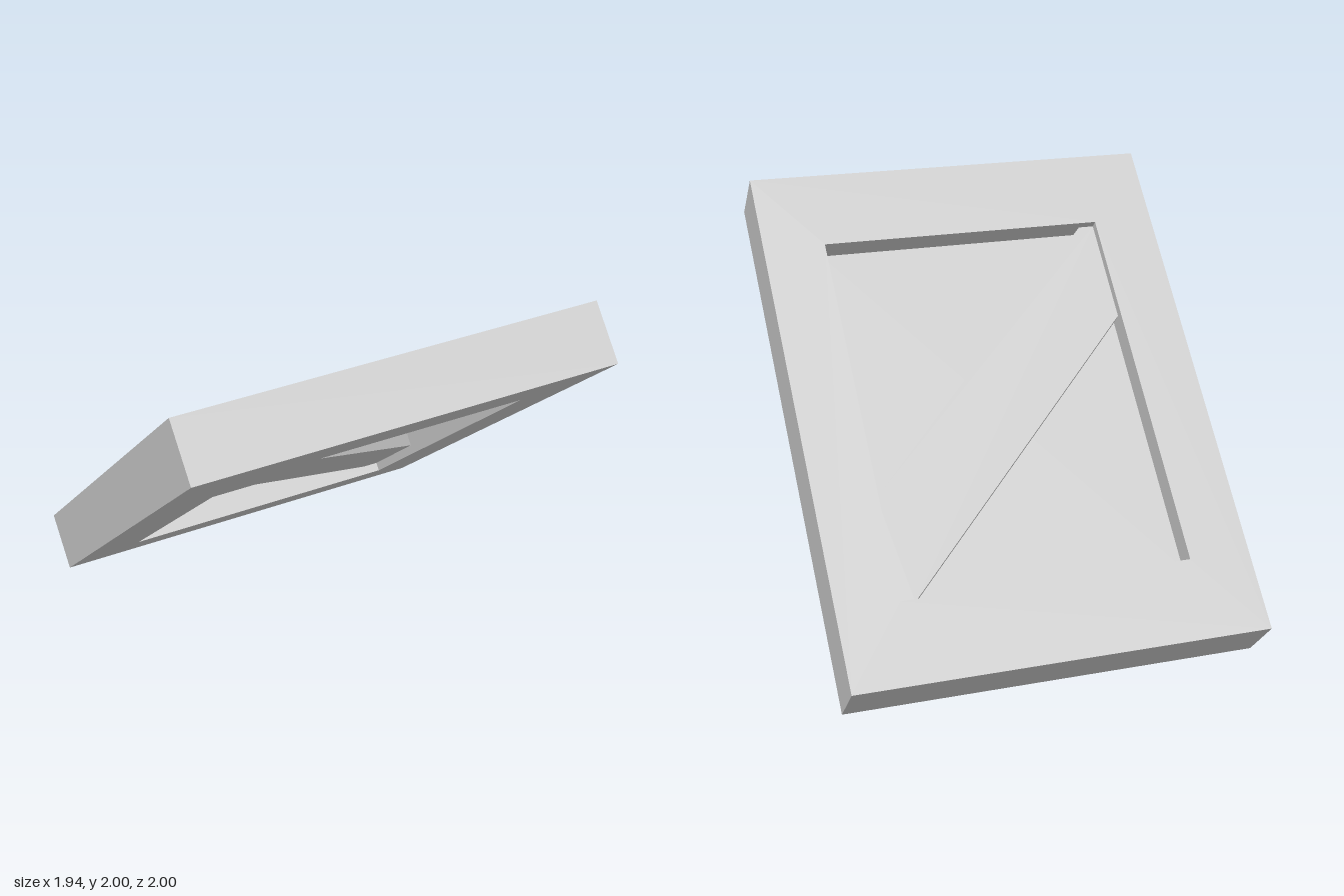
import * as THREE from 'three';

const material = new THREE.MeshStandardMaterial({ color: 0xcccccc, flatShading: true });

const rect = (w, h) => [[-w, -h], [w, -h], [w, h], [-w, h]];
const toPoints = (list) => list.map(([x, y]) => new THREE.Vector2(x, y));

// Flat board with its thickness centred on the door's middle plane
function board(name, outline, thickness, hole) {
  const shape = new THREE.Shape(toPoints(outline));
  if (hole) shape.holes.push(new THREE.Path(toPoints(hole)));
  const geometry = new THREE.ExtrudeGeometry(shape, { depth: thickness, bevelEnabled: false });
  geometry.translate(0, 0, -thickness / 2);
  const mesh = new THREE.Mesh(geometry, material);
  mesh.name = name;
  return mesh;
}

export function createModel() {
  const W = 0.972, H = 0.9 * Math.SQRT2; // half width and half length of the frame
  const w = 0.68, h = 0.894; // half size of the opening
  const door = new THREE.Group();
  door.name = 'tiltedDoor';

  // Surrounding frame
  door.add(board('frame', rect(W, H), 0.2 * Math.SQRT2, rect(w, h)));

  // Recessed infill panel
  door.add(board('panel', rect(w, h), 0.058));

  // Diagonal brace running corner to corner, proud of the panel on both sides
  const half = [[0.607, -h], [w, -h], [w, -0.389]];
  const brace = [...half, ...half.map(([x, y]) => [-x, -y])];
  door.add(board('diagonalBrace', brace, 0.2));

  // Lean the whole door forward at 45 degrees
  door.rotation.x = Math.PI / 4;
  door.position.y = 1;

  const model = new THREE.Group();
  model.name = 'bracedDoor';
  model.add(door);
  return model;
}
